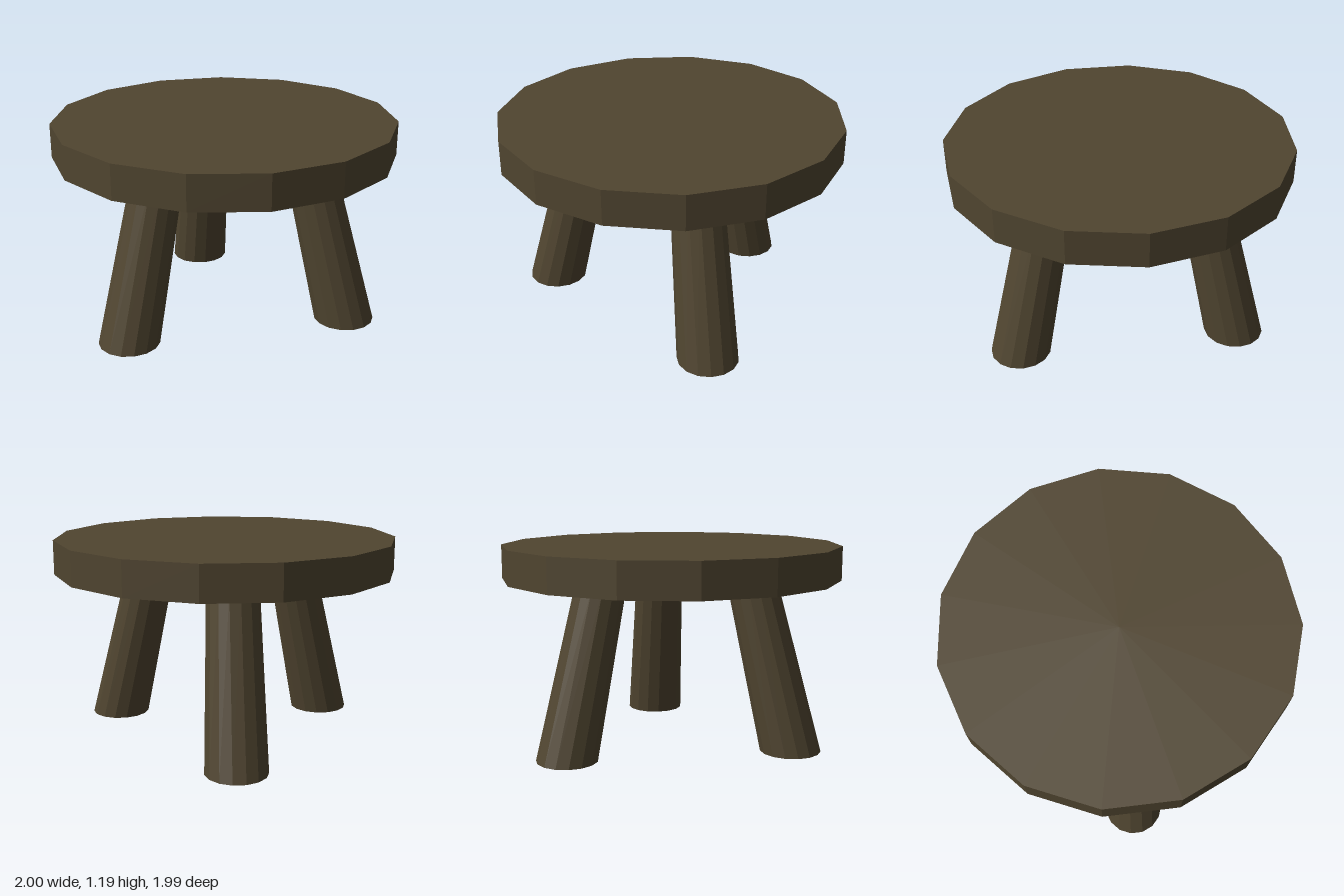
import * as THREE from 'three';

const SIDES = 15;
const SEAT_BOTTOM = 0.99;
const SEAT_TOP = 1.19;
const CENTRE_Z = 0.011;

// Tapered open tube, sheared outward so its ends stay level
function legGeometry(angle) {
  const geometry = new THREE.CylinderGeometry(0.148, 0.178, SEAT_BOTTOM, SIDES, 1, true, Math.PI);
  geometry.translate(0, SEAT_BOTTOM / 2, 0);
  const pos = geometry.attributes.position;
  for (let i = 0; i < pos.count; i++) {
    const reach = THREE.MathUtils.lerp(0.754, 0.504, pos.getY(i) / SEAT_BOTTOM);
    pos.setX(i, pos.getX(i) + Math.sin(angle) * reach);
    pos.setZ(i, pos.getZ(i) + Math.cos(angle) * reach);
  }
  geometry.computeVertexNormals();
  return geometry;
}

export function createModel() {
  const group = new THREE.Group();
  group.name = 'stool';

  const wood = new THREE.MeshStandardMaterial({ color: 0x504530, flatShading: true, side: THREE.DoubleSide });
  wood.name = 'dark wood';

  // Round seat slab, one corner pointing straight back
  const thickness = SEAT_TOP - SEAT_BOTTOM;
  const seat = new THREE.Mesh(
    new THREE.CylinderGeometry(1.0055, 1.0055, thickness, SIDES, 1, false, Math.PI), wood);
  seat.name = 'seat';
  seat.position.set(0, SEAT_BOTTOM + thickness / 2, CENTRE_Z);
  group.add(seat);

  // Three splayed legs: one in front, two behind
  ['frontLeg', 'backLeftLeg', 'backRightLeg'].forEach((name, i) => {
    const leg = new THREE.Mesh(legGeometry(i * Math.PI * 2 / 3), wood);
    leg.name = name;
    leg.position.z = CENTRE_Z;
    group.add(leg);
  });

  return group;
}
